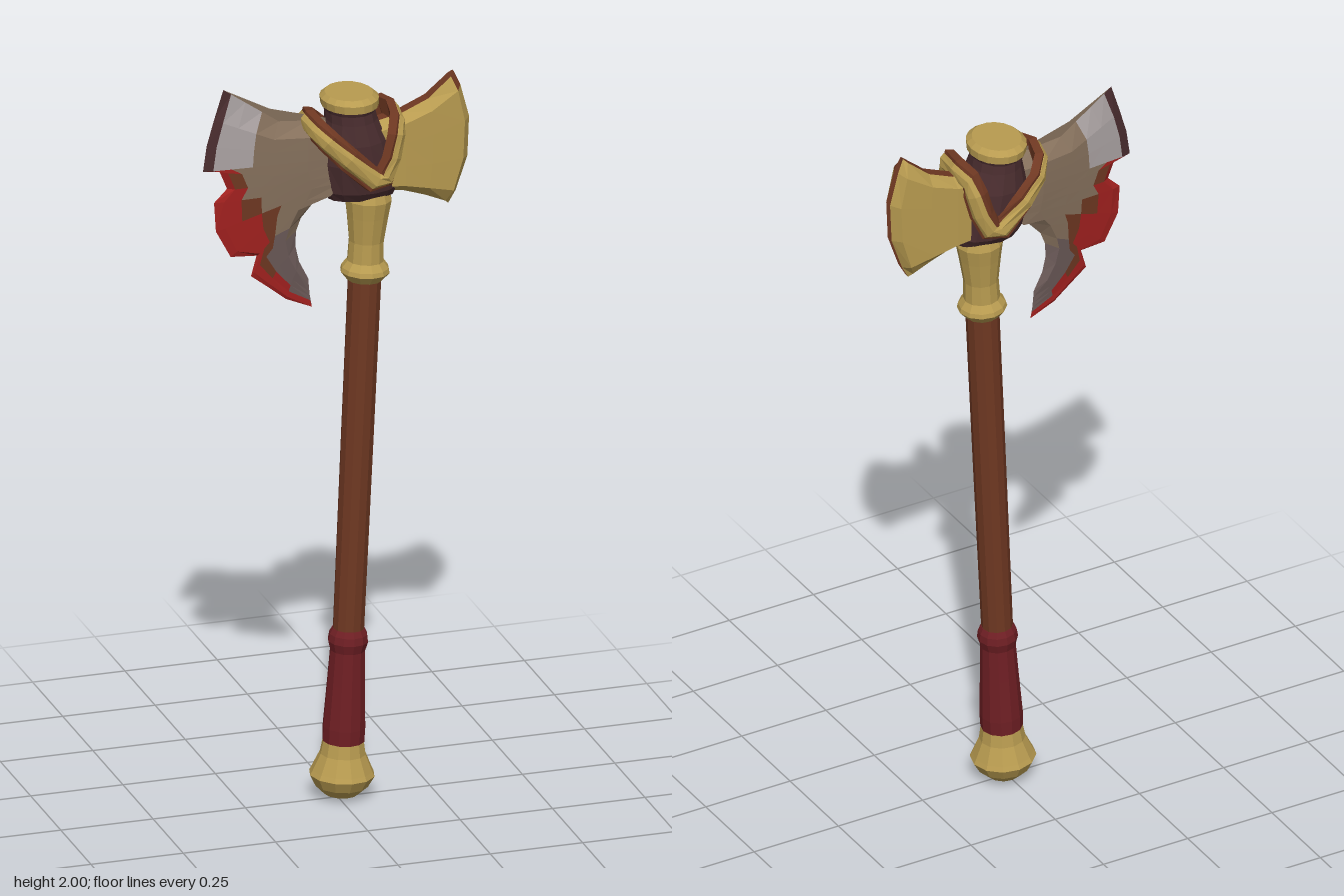
import * as THREE from 'three';

const mat = (name, color) => Object.assign(new THREE.MeshStandardMaterial({ color }), { name });
const M = {
  gold: mat('gold', 0xb89b50), wood: mat('wood brown', 0x6f3822), grip: mat('grip maroon', 0x6f1f24),
  red: mat('blade red', 0xa3211f), plum: mat('dark plum', 0x4a2d2f), tan: mat('blade tan', 0x85705c),
  steel: mat('light steel', 0xaaa2a2), dim: mat('dull steel', 0x6b5a58),
};

// Skins a row of closed rings with flat faces; pick(i, j) gives each quad's colour.
function loft(name, rings, pick, loop = false) {
  const byColour = {};
  const n = rings[0].length;
  const add = (key, ...pts) => (byColour[key] ??= []).push(...pts);
  const last = loop ? rings.length : rings.length - 1;
  for (let i = 0; i < last; i++) {
    const a = rings[i], b = rings[(i + 1) % rings.length];
    for (let j = 0; j < n; j++) {
      const k = (j + 1) % n, key = pick(i, j);
      add(key, a[j], a[k], b[k], a[j], b[k], b[j]);
    }
  }
  if (!loop) {
    const cap = (ring, key, flip) => {
      const c = ring.reduce((s, p) => s.add(p), new THREE.Vector3()).divideScalar(n);
      ring.forEach((p, j) => {
        const q = ring[(j + 1) % n];
        flip ? add(key, c, q, p) : add(key, c, p, q);
      });
    };
    cap(rings[0], pick(0, 0), true);
    cap(rings[rings.length - 1], pick(rings.length - 2, 0), false);
  }
  // drop slivers and turn the skin outward
  const keys = Object.keys(byColour), tris = {}, ab = new THREE.Vector3(), ac = new THREE.Vector3();
  let volume = 0;
  for (const key of keys) {
    tris[key] = [];
    const p = byColour[key];
    for (let t = 0; t < p.length; t += 3) {
      ab.subVectors(p[t + 1], p[t]);
      ac.subVectors(p[t + 2], p[t]);
      const normal = ab.cross(ac);
      if (normal.length() < 1e-8) continue;
      volume += normal.dot(p[t].clone().sub(rings[0][0]));
      tris[key].push([p[t], p[t + 1], p[t + 2]]);
    }
  }
  const geo = new THREE.BufferGeometry(), pos = [], mats = [];
  for (const key of keys) {
    const start = pos.length / 3;
    for (const t of tris[key]) {
      if (volume < 0) t.reverse();
      t.forEach((p) => pos.push(p.x, p.y, p.z));
    }
    geo.addGroup(start, pos.length / 3 - start, mats.length);
    mats.push(M[key]);
  }
  geo.setAttribute('position', new THREE.Float32BufferAttribute(pos, 3));
  geo.computeVertexNormals();
  const mesh = new THREE.Mesh(geo, mats.length === 1 ? mats[0] : mats);
  mesh.name = name;
  return mesh;
}

// Stacked ovals: rows of [y, centre x, radius x, radius z]
function ovals(name, key, rows, sides = 14) {
  const rings = rows.map(([y, cx, rx, rz]) => Array.from({ length: sides }, (_, j) => {
    const a = (j / sides) * Math.PI * 2;
    return new THREE.Vector3(cx + rx * Math.cos(a), y, rz * Math.sin(a));
  }));
  return loft(name, rings, () => key);
}

// Turned part of the handle: rows of [radius, y]
const turned = (name, key, rows) => ovals(name, key, rows.map(([r, y]) => [y, 0, r, r]), 12);

function makeBlade() {
  // stations from top horn to beard tip: inner, middle and outer points
  const stations = [
    [0, 1.88, -0.16, 1.895, -0.31, 2.0], [0, 1.85, -0.18, 1.855, -0.335, 1.92],
    [0, 1.82, -0.18, 1.82, -0.355, 1.85], [0, 1.79, -0.18, 1.785, -0.365, 1.78],
    [0, 1.765, -0.18, 1.755, -0.32, 1.775], [0, 1.74, -0.17, 1.73, -0.3, 1.725],
    [0, 1.72, -0.16, 1.7, -0.335, 1.69], [-0.03, 1.685, -0.16, 1.67, -0.33, 1.61],
    [-0.06, 1.665, -0.17, 1.64, -0.29, 1.535], [-0.1, 1.62, -0.175, 1.585, -0.22, 1.53],
    [-0.113, 1.585, -0.18, 1.55, -0.235, 1.475], [-0.115, 1.545, -0.16, 1.5, -0.19, 1.44],
    [-0.105, 1.5, -0.125, 1.455, -0.14, 1.4], [-0.08, 1.45, -0.08, 1.415, -0.07, 1.37],
  ];
  const paint = ['TTTGGP', 'TTTGGP', 'TTTGGP', 'TTTTRR', 'TTTTBR', 'TTTTRR', 'TTTBRR',
    'TTBRRR', 'TTBRRR', 'TDBBRR', 'DDDBRR', 'DDDRRR', 'DDDDRR'];
  const names = { T: 'tan', G: 'steel', P: 'plum', R: 'red', B: 'wood', D: 'dim' };
  const steps = [0, 0.25, 0.5, 0.65, 0.8, 0.93, 1];
  const rings = stations.map(([ax, ay, mx, my, bx, by], i) => {
    const front = steps.map((t, row) => {
      const u = t < 0.5 ? t * 2 : t * 2 - 1;
      const x = t < 0.5 ? ax + (mx - ax) * u : mx + (bx - mx) * u;
      const y = t < 0.5 ? ay + (my - ay) * u : my + (by - my) * u;
      // wedge thinning away from the hub, sharp along every free edge
      const r = Math.hypot(x - 0.06, y - 1.8);
      const free = i === 0 || i === stations.length - 1 || row === 6 || (row === 0 && i > 7);
      return new THREE.Vector3(x, y, free ? 0 : THREE.MathUtils.clamp(0.051 - 0.111 * r, 0.004, 0.036));
    });
    const back = front.map((p) => new THREE.Vector3(p.x, p.y, -p.z)).reverse();
    return [...front, ...back];
  });
  return loft('blade', rings, (i, j) => names[paint[i][j < 6 ? j : j > 6 && j < 13 ? 12 - j : 0]]);
}

function makeBackBlade() {
  // [x at top, x at bottom, bulge, top y, bottom y, half thickness, ridge half width]
  const rows = [
    [0.1, 0.1, 0, 1.87, 1.68, 0.045, 0.016], [0.17, 0.17, 0, 1.885, 1.67, 0.045, 0.016],
    [0.24, 0.23, 0.01, 1.915, 1.65, 0.041, 0.016], [0.302, 0.287, 0.04, 1.968, 1.625, 0.035, 0.014],
    [0.312, 0.297, 0.05, 1.978, 1.615, 0.01, 0.006],
  ];
  const rings = rows.map(([xt, xb, bulge, top, bottom, h, ridge]) => {
    const side = [[1, ridge], [0.8, h], [0.3, h], [-0.3, h], [-0.8, h], [-1, ridge]].map(([v, z]) =>
      new THREE.Vector3((xt + xb) / 2 + (v * (xt - xb)) / 2 + bulge * (1 - v * v),
        (top + bottom) / 2 + (v * (top - bottom)) / 2, z));
    return [...side, ...side.map((p) => new THREE.Vector3(p.x, p.y, -p.z)).reverse()];
  });
  // wood inlay along the top ridge and the cutting edge
  return loft('backBlade', rings, (i, j) => (j === 11 || (i === 3 && j === 0) ? 'wood' : 'gold'));
}

// V-shaped strap looping round both faces of the hub
function makeStrap(name, key, halfWidth, inner, outer) {
  const half = [[-0.085, 1.885, 0], [-0.078, 1.875, 0.045], [-0.05, 1.847, 0.08], [0, 1.8, 0.097],
    [0.07, 1.738, 0.097], [0.1, 1.738, 0.093], [0.125, 1.79, 0.085], [0.14, 1.85, 0.076],
    [0.146, 1.882, 0.06], [0.15, 1.888, 0]].map((p) => new THREE.Vector3(...p));
  const path = [...half, ...half.slice(1, -1).reverse().map((p) => new THREE.Vector3(p.x, p.y, -p.z))];
  const n = path.length;
  const rings = path.map((p, i) => {
    const along = path[(i + 1) % n].clone().sub(path[(i + n - 1) % n]).normalize();
    const out = new THREE.Vector3(p.x - 0.04, 0, p.z).normalize();
    const across = along.clone().cross(out).normalize();
    return [[-1, inner], [-1, outer * 0.4], [-0.5, outer], [0.5, outer], [1, outer * 0.4], [1, inner]].map(
      ([w, o]) => p.clone().addScaledVector(across, w * halfWidth).addScaledVector(out, o));
  });
  return loft(name, rings, () => key, true);
}

export function createModel() {
  const model = new THREE.Group();
  model.name = 'battleAxe';

  // Handle, leaning slightly toward the back blade
  const handle = new THREE.Group();
  handle.name = 'handle';
  handle.position.x = 0.008;
  handle.rotation.z = -0.045;
  handle.add(
    turned('pommel', 'gold', [[0.015, 0.004], [0.045, 0.014], [0.07, 0.038], [0.086, 0.068],
      [0.08, 0.08], [0.06, 0.125], [0.054, 0.162]]),
    turned('grip', 'grip', [[0.055, 0.16], [0.056, 0.2], [0.05, 0.32], [0.046, 0.41], [0.053, 0.435],
      [0.05, 0.455], [0.042, 0.47]]),
    turned('shaft', 'wood', [[0.041, 0.45], [0.043, 1], [0.044, 1.45]]),
    turned('collar', 'gold', [[0.046, 1.432], [0.065, 1.455], [0.062, 1.467], [0.048, 1.485],
      [0.046, 1.54], [0.055, 1.61], [0.062, 1.655], [0.055, 1.675]]),
  );

  // Hub and its cap
  const head = new THREE.Group();
  head.name = 'head';
  head.add(
    ovals('hub', 'plum', [[1.665, 0.062, 0.088, 0.05], [1.69, 0.06, 0.1, 0.068], [1.77, 0.05, 0.098, 0.087],
      [1.83, 0.042, 0.086, 0.088], [1.885, 0.035, 0.068, 0.078], [1.91, 0.032, 0.066, 0.076],
      [1.93, 0.032, 0.073, 0.084]]),
    ovals('cap', 'gold', [[1.922, 0.032, 0.074, 0.086], [1.943, 0.031, 0.076, 0.088],
      [1.955, 0.03, 0.062, 0.072]], 18),
    makeStrap('strapLining', 'wood', 0.031, -0.02, 0.006),
    makeStrap('strap', 'gold', 0.022, -0.01, 0.015),
    makeBlade(),
    makeBackBlade(),
  );

  model.add(handle, head);
  return model;
}
